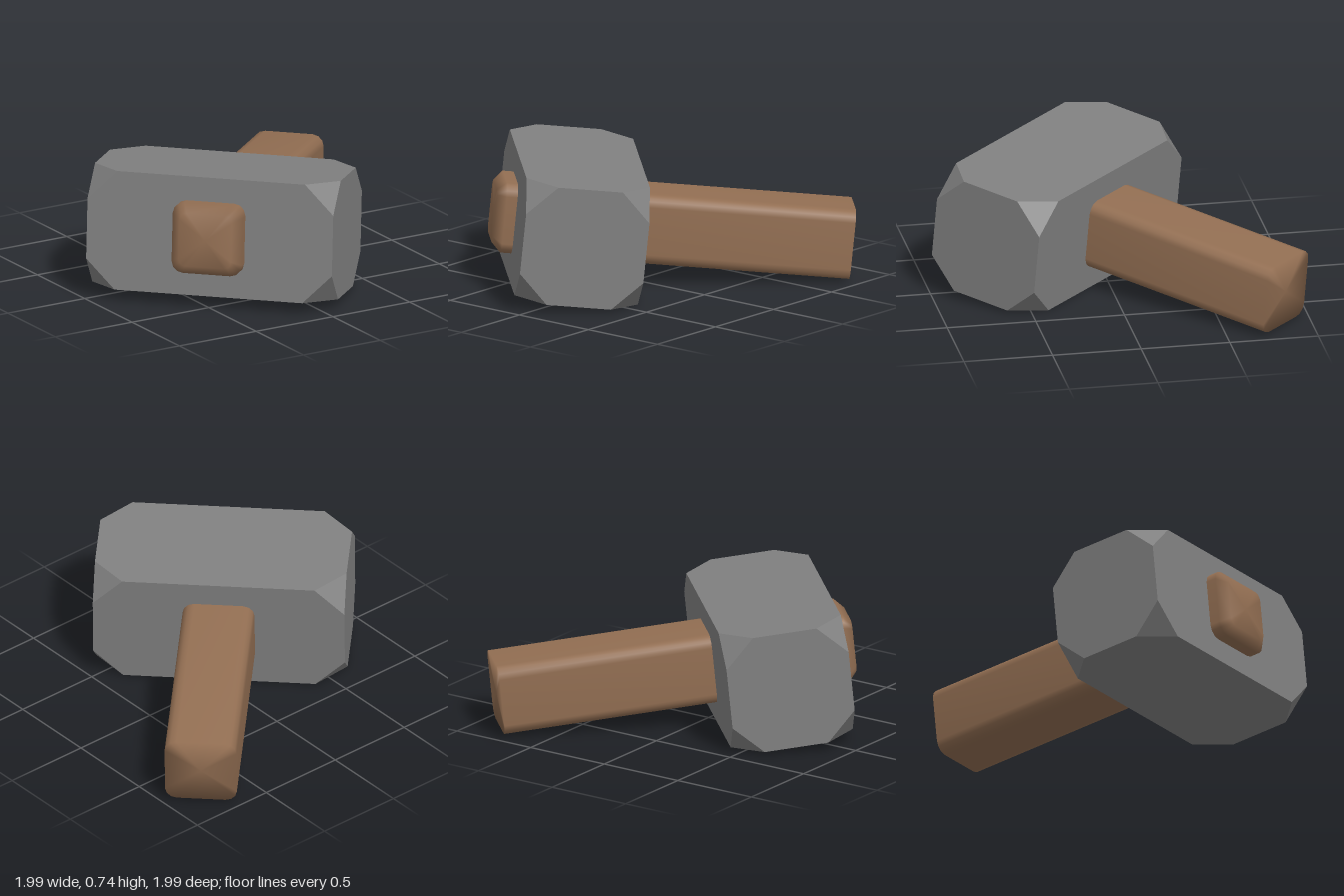
import * as THREE from 'three';
import { ConvexGeometry } from 'three/addons/geometries/ConvexGeometry.js';

const stone = new THREE.MeshStandardMaterial({ color: 0x808080 });
stone.name = 'grey stone';
const wood = new THREE.MeshStandardMaterial({ color: 0x926e52 });
wood.name = 'brown wood';

// Box with its eight corners cut off: three points around each corner
function cutCornerBox(w, h, d, cut) {
  const points = [];
  for (const sx of [-1, 1]) for (const sy of [-1, 1]) for (const sz of [-1, 1]) {
    const x = sx * w / 2, y = sy * h / 2, z = sz * d / 2;
    points.push(
      new THREE.Vector3(x - sx * cut, y, z),
      new THREE.Vector3(x, y - sy * cut, z),
      new THREE.Vector3(x, y, z - sz * cut)
    );
  }
  return new ConvexGeometry(points);
}

// Rounded-square outline, counterclockwise
function roundedSquare(half, radius, steps) {
  const outline = [];
  for (let corner = 0; corner < 4; corner++) {
    const base = corner * Math.PI / 2, mid = base + Math.PI / 4;
    const cx = Math.sign(Math.cos(mid)) * (half - radius);
    const cy = Math.sign(Math.sin(mid)) * (half - radius);
    for (let s = 0; s <= steps; s++) {
      const a = base + (s / steps) * Math.PI / 2;
      outline.push([cx + radius * Math.cos(a), cy + radius * Math.sin(a)]);
    }
  }
  return outline;
}

// Smooth bar through cross-sections [z, half, radius] running from front to back
function bar(sections) {
  const position = [], index = [];
  const n = 16;
  for (const [z, half, radius] of sections) {
    for (const [x, y] of roundedSquare(half, radius, 3)) position.push(x, y, z);
  }
  const last = (sections.length - 1) * n;
  const front = sections.length * n, back = front + 1;
  position.push(0, 0, sections[0][0], 0, 0, sections[sections.length - 1][0]);
  for (let j = 0; j < n; j++) {
    const k = (j + 1) % n;
    for (let i = 0; i < last; i += n) {
      index.push(i + j, i + n + j, i + k, i + k, i + n + j, i + n + k);
    }
    index.push(front, j, k, back, last + k, last + j);
  }
  const geometry = new THREE.BufferGeometry();
  geometry.setAttribute('position', new THREE.Float32BufferAttribute(position, 3));
  geometry.setIndex(index);
  geometry.computeVertexNormals();
  return geometry;
}

export function createModel() {
  const model = new THREE.Group();
  model.name = 'hammer';

  // The hammer lies turned 45 degrees, with the handle sloping to the ground
  const hammer = new THREE.Group();
  hammer.name = 'tiltedHammer';
  hammer.rotation.set(-0.1, -Math.PI / 4, 0, 'YXZ');
  hammer.position.set(-0.242, 0.37, 0.242);
  model.add(hammer);

  // Faceted block head
  const head = new THREE.Mesh(cutCornerBox(1.4, 0.673, 0.69, 0.165), stone);
  head.name = 'head';
  hammer.add(head);

  // Handle passes through the head, with a bevelled front end and a flat back end
  const handle = new THREE.Mesh(bar([
    [0.455, 0.15, 0.04],
    [0.405, 0.2, 0.065],
    [-1.545, 0.2, 0.065]
  ]), wood);
  handle.name = 'handle';
  hammer.add(handle);

  return model;
}
